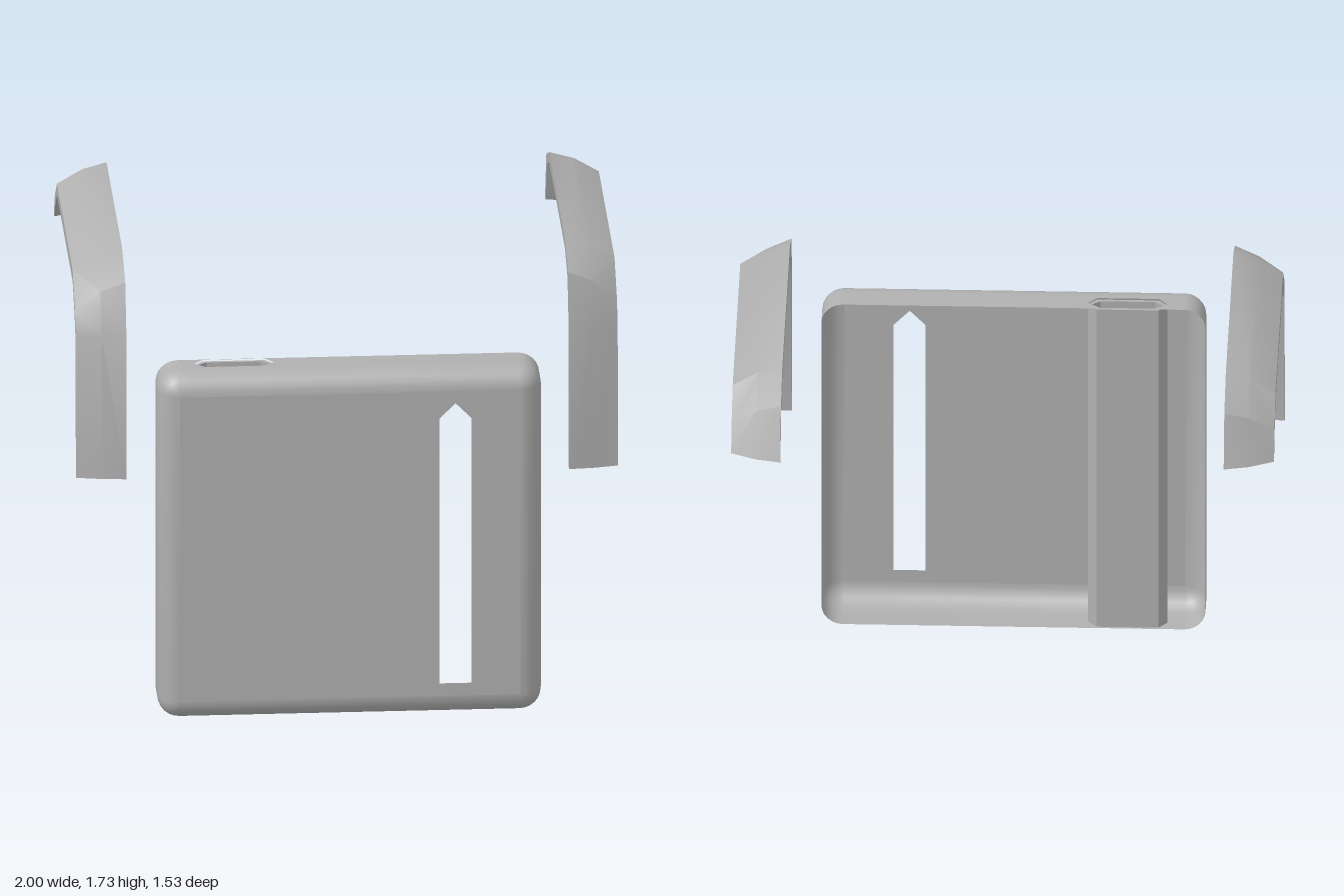
import * as THREE from 'three';
import { toCreasedNormals } from 'three/addons/utils/BufferGeometryUtils.js';

const grey = new THREE.MeshStandardMaterial({ color: 0xb0b0b0, side: THREE.DoubleSide });
grey.name = 'plain grey';

function part(name, geometry) {
  const mesh = new THREE.Mesh(geometry, grey);
  mesh.name = name;
  return mesh;
}

// Skin over closed rings of points; skip(i, j) leaves a quad open, caps are lists of four points
function loft(rings, { skip = () => false, caps = [], flip = false, crease = 0.6 } = {}) {
  const pos = [];
  const quad = (a, b, c, d) => {
    const tris = flip ? [a, c, b, a, d, c] : [a, b, c, a, c, d];
    tris.forEach(p => pos.push(...p));
  };
  const n = rings[0].length;
  for (let i = 0; i < rings.length - 1; i++) {
    for (let j = 0; j < n; j++) {
      const k = (j + 1) % n;
      if (!skip(i, j)) quad(rings[i][j], rings[i][k], rings[i + 1][k], rings[i + 1][j]);
    }
  }
  caps.forEach(c => quad(...c));
  const g = new THREE.BufferGeometry();
  g.setAttribute('position', new THREE.Float32BufferAttribute(pos, 3));
  return toCreasedNormals(g, crease);
}

const HALF = 0.708, TOP = 1.358, R = 0.08, BACK = 0.585, FRONT = 0.765;
const PORT = [-0.27, -0.57], PORT_Z = 0.665, STEPS = 6;

// Rounded rectangle outline with corner radius r, including two points beside the top port
function outline(r, z) {
  const pts = [];
  const corner = (cx, cy, start) => {
    for (let s = 0; s <= STEPS; s++) {
      const a = start + (s / STEPS) * Math.PI / 2;
      pts.push([cx + r * Math.cos(a), cy + r * Math.sin(a), z]);
    }
  };
  corner(HALF - R, R, -Math.PI / 2);
  corner(HALF - R, TOP - R, 0);
  PORT.forEach(x => pts.push([x, TOP - R + r, z]));
  corner(R - HALF, TOP - R, Math.PI / 2);
  corner(R - HALF, R, Math.PI);
  return pts;
}

// Flattened hexagon of the channel in (x, -z), shrunk by t
function hexagon(t) {
  const zb = 0.588 + t, zf = 0.662 - t, zm = 0.625, x0 = -0.566 + t, x1 = -0.274 - t, b = 0.032;
  return [[x0, zm], [x0 + b, zf], [x1 - b, zf], [x1, zm], [x1 - b, zb], [x0 + b, zb]]
    .map(([x, z]) => new THREE.Vector2(x, -z));
}

function createCase() {
  const group = new THREE.Group();
  group.name = 'case';

  // Side walls and rounded front edge, open at the back and at the top port
  const rings = [outline(R, BACK), outline(R, PORT_Z)];
  for (let s = 0; s <= STEPS; s++) {
    const a = (s / STEPS) * Math.PI / 2;
    rings.push(outline(R * Math.cos(a), FRONT - R + R * Math.sin(a)));
  }
  const portIndex = 2 * (STEPS + 1);
  group.add(part('caseWalls', loft(rings, { skip: (i, j) => i === 0 && j === portIndex })));

  // Front panel with two pointed slots
  const x = HALF - R;
  const panel = new THREE.Shape([[-x, R], [x, R], [x, TOP - R], [-x, TOP - R]]
    .map(p => new THREE.Vector2(...p)));
  for (const c of [-0.388, 0.388]) {
    panel.holes.push(new THREE.Path([[-0.059, 0.13], [-0.059, 1.172], [0, 1.232], [0.059, 1.172], [0.059, 0.13]]
      .map(([dx, y]) => new THREE.Vector2(c + dx, y))));
  }
  const front = part('frontPanel', new THREE.ShapeGeometry(panel));
  front.position.z = FRONT;
  group.add(front);

  // Top surround of the port
  const surround = new THREE.Shape([[PORT[1], -PORT_Z], [PORT[0], -PORT_Z], [PORT[0], -BACK], [PORT[1], -BACK]]
    .map(p => new THREE.Vector2(...p)));
  surround.holes.push(new THREE.Path(hexagon(0)));
  const rim = part('portSurround', new THREE.ShapeGeometry(surround));
  rim.rotation.x = -Math.PI / 2;
  rim.position.y = TOP;
  group.add(rim);

  // Hollow channel running down from the port
  const tube = new THREE.Shape(hexagon(0));
  tube.holes.push(new THREE.Path(hexagon(0.013)));
  const channel = part('channel', new THREE.ExtrudeGeometry(tube, { depth: TOP - 0.01, bevelEnabled: false }));
  channel.rotation.x = -Math.PI / 2;
  channel.position.y = 0.004;
  group.add(channel);
  return group;
}

// Strap edge paths as [z, y]: outer and inner skin, at the near and far side
const NEAR_OUT = [[0.615, 0.905], [0.615, 1.475], [0.55, 1.655], [0.375, 1.725], [-0.52, 1.725], [-0.69, 1.655], [-0.765, 1.46]];
const FAR_OUT = [[0.588, 0.905], [0.555, 1.45], [0.515, 1.535], [0.375, 1.645], [-0.52, 1.645], [-0.635, 1.56], [-0.702, 1.46]];
const FAR_IN = [[0.565, 0.905], [0.528, 1.45], [0.485, 1.51], [0.375, 1.6], [-0.52, 1.6], [-0.6, 1.54], [-0.67, 1.46]];
const NEAR_IN = [[0.585, 0.905], [0.58, 1.465], [0.52, 1.625], [0.37, 1.685], [-0.515, 1.685], [-0.66, 1.625], [-0.728, 1.46]];

function createStrap(name, side) {
  const at = (x, [z, y]) => [side * x, y, z];
  const mid = (a, b) => [a[0] * 0.68 + b[0] * 0.32, a[1] * 0.68 + b[1] * 0.32];
  const rings = NEAR_OUT.map((a, i) => [
    at(0.817, a), at(0.908, mid(a, FAR_OUT[i])), at(1, FAR_OUT[i]),
    at(1, FAR_IN[i]), at(0.908, mid(NEAR_IN[i], FAR_IN[i])), at(0.817, NEAR_IN[i]),
  ]);
  const s = rings[0], e = rings[rings.length - 1];
  const caps = [
    [s[5], s[4], s[1], s[0]], [s[4], s[3], s[2], s[1]],
    [e[0], e[1], e[4], e[5]], [e[1], e[2], e[3], e[4]],
  ];
  return part(name, loft(rings, { caps, flip: side < 0, crease: 0.5 }));
}

export function createModel() {
  const model = new THREE.Group();
  model.name = 'chestPackWithStraps';
  model.add(createCase(), createStrap('leftStrap', 1), createStrap('rightStrap', -1));
  return model;
}
